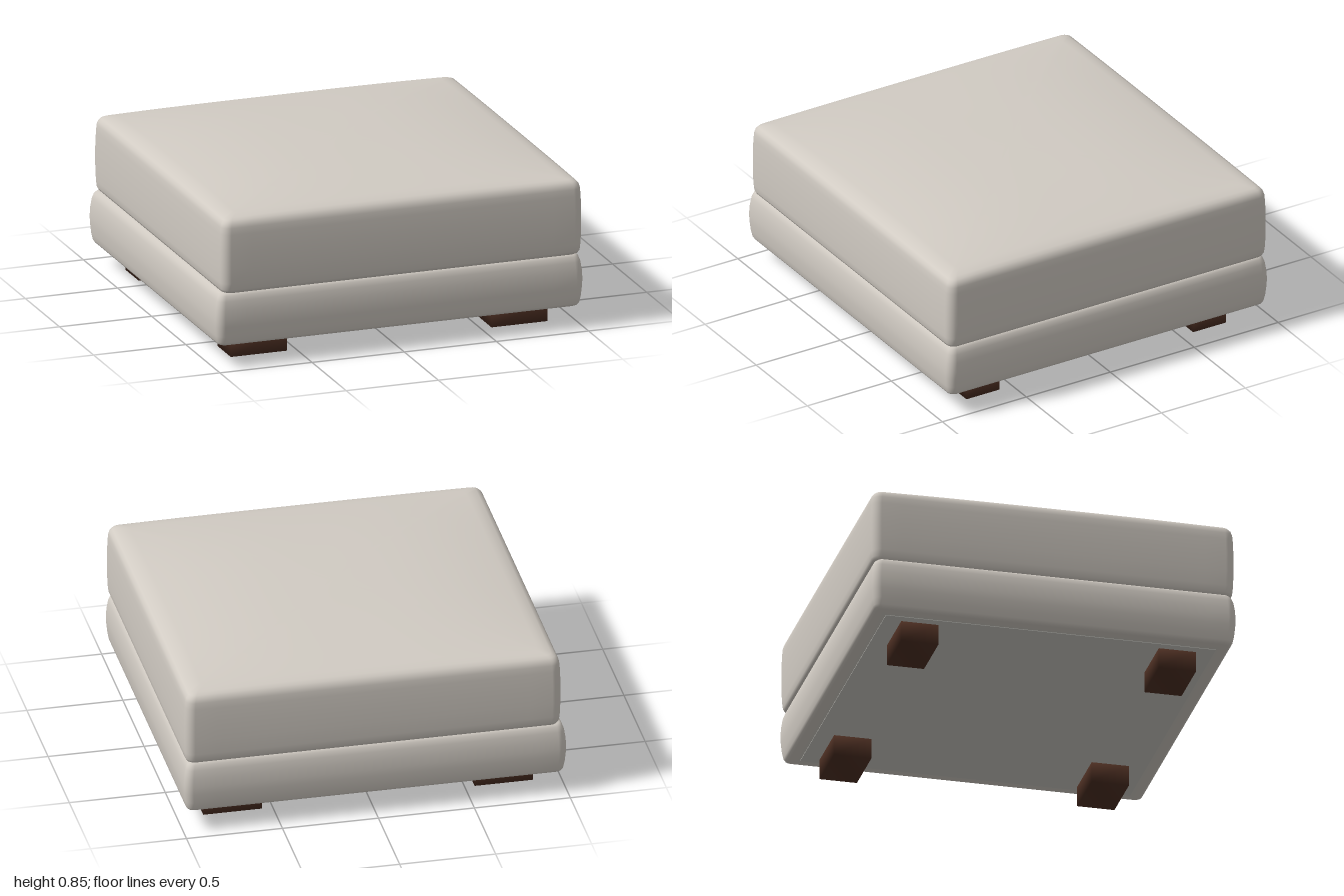
import * as THREE from 'three';
import { mergeVertices } from 'three/addons/utils/BufferGeometryUtils.js';

// Rounded-rectangle outline in plan; every outline has the same point count.
function outline(hx, hz, r) {
  const pts = [], arc = 6, side = 16;
  const signs = [[1, 1], [-1, 1], [-1, -1], [1, -1]];
  const corner = (k, i) => {
    const a = (k + i / arc) * Math.PI / 2;
    return [signs[k][0] * (hx - r) + r * Math.cos(a), signs[k][1] * (hz - r) + r * Math.sin(a)];
  };
  for (let k = 0; k < 4; k++) {
    for (let i = 0; i <= arc; i++) pts.push(corner(k, i));
    const p = corner(k, arc), q = corner((k + 1) % 4, 0);
    for (let i = 1; i < side; i++) {
      const t = i / side;
      pts.push([p[0] + (q[0] - p[0]) * t, p[1] + (q[1] - p[1]) * t]);
    }
  }
  return pts;
}

// Closed upholstered block: profile of [inset, y] from bottom to top, capped at both ends.
function upholstered(hx, hz, radius, profile, crown) {
  const rings = [];
  const capScales = [0, 0.2, 0.4, 0.55, 0.7, 0.82, 0.92, 0.97];
  const ringAt = ([inset, y], s = 1) =>
    outline(hx - inset, hz - inset, Math.max(radius - inset * 0.5, 0.02)).map(([x, z]) => [x * s, y, z * s]);
  const first = profile[0], last = profile[profile.length - 1];
  capScales.forEach(s => rings.push(ringAt(first, s)));
  profile.forEach(p => rings.push(ringAt(p)));
  const topStart = rings.length - 5;
  capScales.slice().reverse().forEach(s => rings.push(ringAt(last, s)));

  // Crown the upper surface, fading to nothing at the edges.
  rings.slice(topStart).flat().forEach(p => {
    p[1] += crown * (1 - Math.abs(p[0] / hx) ** 3) * (1 - Math.abs(p[2] / hz) ** 3);
  });

  const n = rings[0].length, index = [];
  for (let j = 0; j < rings.length - 1; j++) {
    for (let i = 0; i < n; i++) {
      const a = j * n + i, b = j * n + (i + 1) % n;
      index.push(a, a + n, b, b, a + n, b + n);
    }
  }
  const geo = new THREE.BufferGeometry();
  geo.setAttribute('position', new THREE.Float32BufferAttribute(rings.flat(2), 3));
  geo.setIndex(index);
  geo.computeVertexNormals();
  return geo;
}

// Box with shared corners, so its shading blends softly across the edges.
function softBox(w, h, d) {
  const box = new THREE.BoxGeometry(w, h, d);
  box.deleteAttribute('normal');
  box.deleteAttribute('uv');
  const geo = mergeVertices(box);
  geo.computeVertexNormals();
  return geo;
}

export function createModel() {
  const fabric = new THREE.MeshStandardMaterial({ name: 'warm grey upholstery', color: 0xd1cbc3 });
  const lining = new THREE.MeshStandardMaterial({ name: 'pale grey lining', color: 0xc9c8c2 });
  const wood = new THREE.MeshStandardMaterial({ name: 'dark wood', color: 0x4a2d21 });

  const group = new THREE.Group();
  group.name = 'ottoman';
  const add = (name, geo, mat, x, y, z) => {
    const mesh = new THREE.Mesh(geo, mat);
    mesh.name = name;
    mesh.position.set(x, y, z);
    group.add(mesh);
  };

  // Base with softly bulging sides
  add('base', upholstered(0.997, 0.955, 0.045, [
    [0.09, 0.112], [0.06, 0.113], [0.035, 0.116], [0.022, 0.122], [0.014, 0.135], [0.007, 0.17], [0.002, 0.22],
    [0, 0.26], [0.003, 0.31], [0.01, 0.355], [0.02, 0.382], [0.033, 0.394], [0.06, 0.398],
  ], 0), fabric, 0, 0, 0);

  // Seat cushion with a crowned top
  add('seatCushion', upholstered(0.981, 0.952, 0.05, [
    [0.05, 0.39], [0.03, 0.392], [0.015, 0.4], [0.007, 0.415], [0.003, 0.45], [0, 0.53],
    [0, 0.63], [0.003, 0.71], [0.006, 0.745], [0.012, 0.765], [0.025, 0.78], [0.045, 0.788], [0.08, 0.793],
  ], 0.06), fabric, 0.012, 0, 0);

  // Lining panel under the base
  add('undersidePanel', new THREE.BoxGeometry(1.81, 0.006, 1.73), lining, 0, 0.112, 0);

  // Four block legs
  const legGeo = softBox(0.305, 0.115, 0.195);
  for (const sx of [-1, 1]) {
    for (const sz of [-1, 1]) {
      add((sz > 0 ? 'front' : 'back') + (sx > 0 ? 'Left' : 'Right') + 'Leg',
        legGeo, wood, 0.003 + sx * 0.707, 0.0575, sz * 0.675);
    }
  }
  return group;
}
